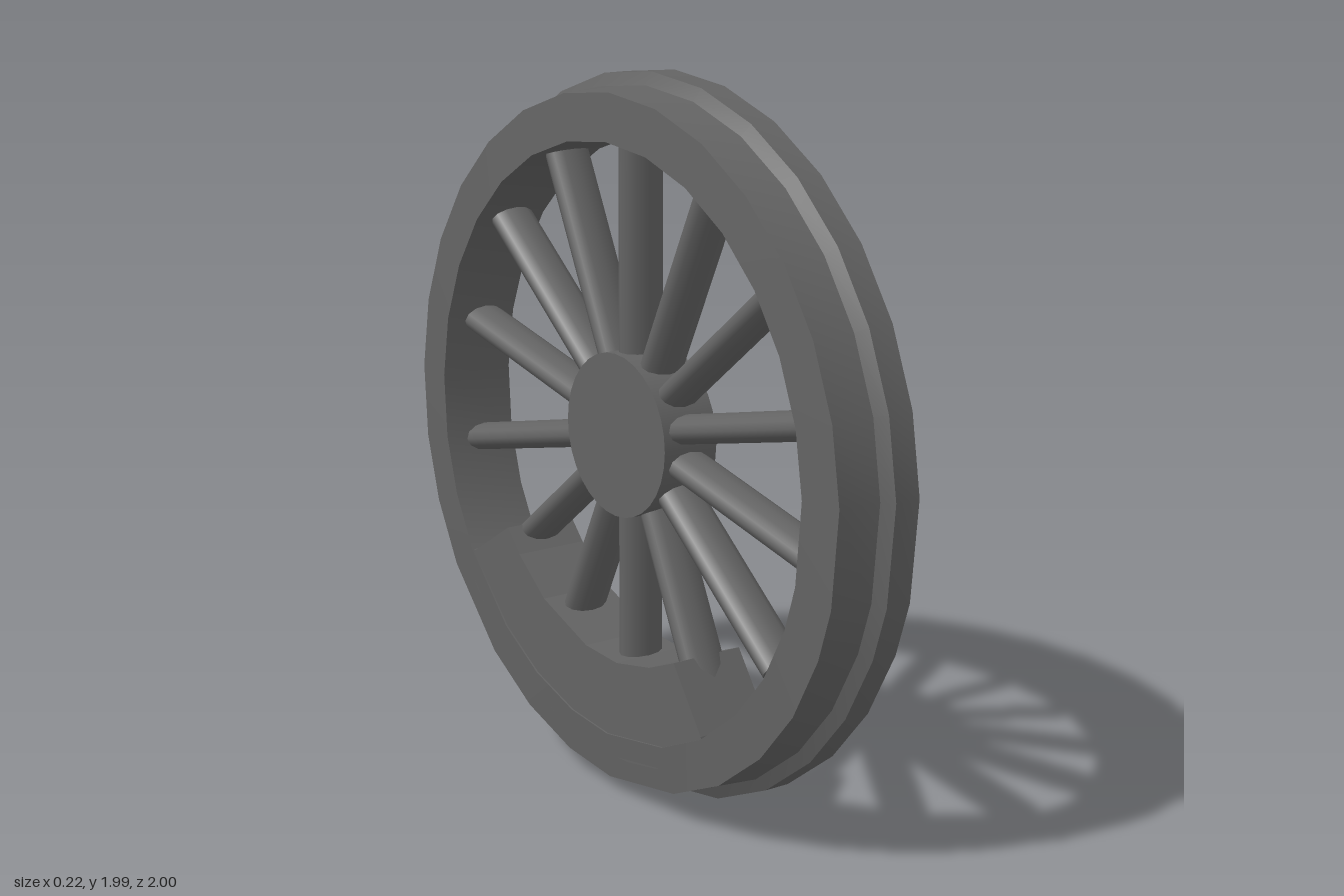
import * as THREE from 'three';

const RIM_Y = 0.993;   // rim centre height
const HUB_Y = 1.02;    // hub and spokes sit slightly higher
const DEG = Math.PI / 180;

// Sweeps a closed (x, radius) profile round the axle through the given angles;
// smooth around the wheel, sharp between profile bands.
function sweepRing(profile, angles) {
  const pos = [], index = [], n = angles.length;
  profile.forEach((p, k) => {
    const q = profile[(k + 1) % profile.length];
    const base = pos.length / 3;
    for (const a of angles) {
      for (const [x, r] of [p, q]) pos.push(x, r * Math.cos(a), -r * Math.sin(a));
    }
    for (let i = 0; i < n; i++) {
      const a = base + 2 * i, b = base + 2 * ((i + 1) % n);
      index.push(a, a + 1, b, a + 1, b + 1, b);
    }
  });
  const geo = new THREE.BufferGeometry();
  geo.setAttribute('position', new THREE.Float32BufferAttribute(pos, 3));
  geo.setIndex(index);
  geo.computeVertexNormals();
  return geo;
}

export function createModel() {
  const wheel = new THREE.Group();
  wheel.name = 'spokedWheel';
  const iron = new THREE.MeshStandardMaterial({ color: 0x636363, side: THREE.DoubleSide });
  iron.name = 'dark iron';

  const add = (name, geo, y = 0) => {
    const mesh = new THREE.Mesh(geo, iron);
    mesh.name = name;
    mesh.position.y = y;
    wheel.add(mesh);
    return mesh;
  };

  // Rim: tyre tread on the -x side, taller flange on the +x side
  const angles = [];
  for (let i = -7; i <= 7; i++) angles.push(i * 12.45);
  angles.push(100, 112, 124, 142, 155, 168, 180, 198, 211, 224, 236, 248, 257);
  const rimProfile = [
    [-0.115, 0.82], [-0.105, 0.948], [0.015, 0.958], [0.035, 0.993],
    [0.11, 0.993], [0.11, 0.82],
  ];
  const rim = sweepRing(rimProfile, angles.map(a => a * DEG));
  rim.scale(1, 1, 1.007);
  add('rim', rim, RIM_Y);

  // Counterweight: lopsided crescent filling the bottom of the rim
  const shape = new THREE.Shape();
  const edge = [
    [-0.42, 0.295], [-0.30, 0.465], [-0.19, 0.42], [-0.04, 0.39], [0.107, 0.40],
    [0.315, 0.48], [0.44, 0.58], [0.50, 0.645], [0.674, 0.535],
  ];
  edge.forEach(([x, y], i) => (i ? shape.lineTo(x, y) : shape.moveTo(x, y)));
  for (let a = 122; a <= 210; a += 8) {
    shape.lineTo(0.88 * Math.sin(a * DEG), RIM_Y + 0.88 * Math.cos(a * DEG));
  }
  const weight = new THREE.ExtrudeGeometry(shape, { depth: 0.219, bevelEnabled: false });
  weight.rotateY(Math.PI / 2);
  weight.translate(-0.11, 0, 0);
  add('counterweight', weight);

  // Hub: cup open towards +x with a plate on the -x end
  const hub = new THREE.CylinderGeometry(0.225, 0.225, 0.17, 32, 1, true);
  hub.rotateZ(Math.PI / 2);
  add('hub', hub, HUB_Y);
  const plate = new THREE.CircleGeometry(0.225, 32);
  plate.rotateY(-Math.PI / 2);
  plate.translate(-0.085, 0, 0);
  add('hubPlate', plate, HUB_Y);

  // Fourteen oval spokes, their inner ends just showing inside the hub
  const spoke = new THREE.CylinderGeometry(0.04, 0.04, 0.6, 12);
  spoke.scale(0.067 / 0.04, 1, 1);
  spoke.translate(0, 0.5, 0);
  for (let i = 0; i < 14; i++) {
    add('spoke', spoke, HUB_Y).rotation.x = (i / 14) * Math.PI * 2;
  }
  return wheel;
}
